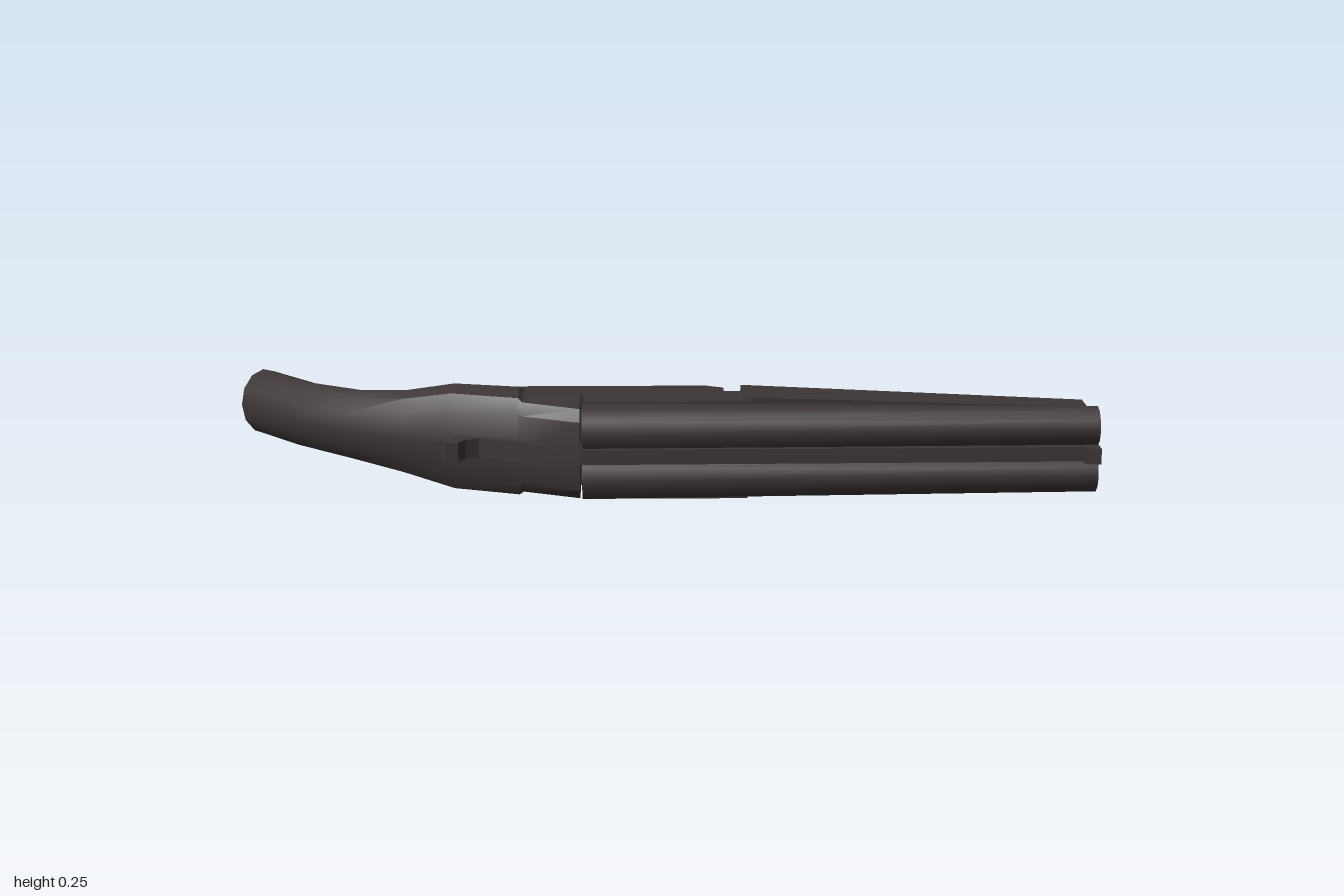
import * as THREE from 'three';
import { toCreasedNormals } from 'three/addons/utils/BufferGeometryUtils.js';

const CY = 0.128; // middle plane of the gun, which lies on its side

export function createModel() {
  const group = new THREE.Group();
  const gunmetal = new THREE.MeshStandardMaterial({ color: 0x3d3535 });
  gunmetal.name = 'dark gunmetal';

  const add = (name, geometry, crease = 0.6) => {
    const mesh = new THREE.Mesh(toCreasedNormals(geometry, crease), gunmetal);
    mesh.name = name;
    group.add(mesh);
    return mesh;
  };

  // Skin rings of [x, y, z] points, running towards +x, with closed ends
  const loft = (rings) => {
    const n = rings[0].length, pos = rings.flat(2), idx = [];
    for (let i = 0; i < rings.length - 1; i++) {
      for (let j = 0; j < n; j++) {
        const a = i * n + j, b = i * n + (j + 1) % n;
        idx.push(a, b, a + n, b, b + n, a + n);
      }
    }
    const last = (rings.length - 1) * n;
    for (let j = 1; j < n - 1; j++) {
      idx.push(0, j + 1, j);
      idx.push(last, last + j, last + j + 1);
    }
    const g = new THREE.BufferGeometry();
    g.setAttribute('position', new THREE.Float32BufferAttribute(pos, 3));
    g.setIndex(idx);
    return g;
  };

  // Outline in the x-z plane, given thickness along y
  const plate = (points, depth, y = CY, hole) => {
    const shape = new THREE.Shape(points.map(([x, z]) => new THREE.Vector2(x, z)));
    if (hole) shape.holes.push(new THREE.Path(hole.map(([x, z]) => new THREE.Vector2(x, z))));
    return new THREE.ExtrudeGeometry(shape, { depth, bevelEnabled: false })
      .rotateX(Math.PI / 2).translate(0, y + depth / 2, 0);
  };

  // Curved grip flowing into the receiver: lower x, z, upper x, z, half width, roundness
  const sections = [
    [-0.90, -0.285, -1.00, -0.21, 0.080, 1],
    [-0.78, -0.160, -0.87, -0.07, 0.080, 1],
    [-0.66, -0.070, -0.72, 0.04, 0.086, 1],
    [-0.56, -0.020, -0.59, 0.11, 0.100, 0.9],
    [-0.45, 0.018, -0.47, 0.155, 0.126, 0.8],
    [-0.31, 0.045, -0.31, 0.205, 0.124, 0.6],
    [-0.30, 0.045, -0.30, 0.21, 0.114, 0.55],
    [-0.17, 0.045, -0.17, 0.275, 0.112, 0.5],
  ];
  const power = (v, e) => Math.sign(v) * Math.abs(v) ** e;
  add('gripAndReceiver', loft(sections.map(([bx, bz, tx, tz, w, e]) => {
    const ring = [];
    for (let i = 0; i < 12; i++) {
      const a = (i / 12) * Math.PI * 2;
      const c = power(Math.cos(a), e), s = power(Math.sin(a), e);
      ring.push([(bx + tx) / 2 + s * (tx - bx) / 2, CY + w * c, (bz + tz) / 2 + s * (tz - bz) / 2]);
    }
    return ring;
  })));

  // Action bar under the breech, and the flat-sided barrel lump above it
  add('actionBar', plate([[-0.31, 0.045], [0.12, 0.045], [0.16, 0.065], [0.16, 0.1],
    [0.21, 0.1], [0.21, 0.125], [-0.31, 0.125]], 0.216));
  add('barrelLump', plate([[-0.162, 0.12], [0.21, 0.12], [0.21, 0.215], [-0.162, 0.215]], 0.228));

  // Forend: tapering, with chamfered lower corners
  const forendRing = (x, w, b, t) => [[0, b], [0.75 * w, b + 0.005], [w, b + 0.035], [w, t],
    [-w, t], [-w, b + 0.035], [-0.75 * w, b + 0.005]].map(([y, z]) => [x, CY + y, z]);
  add('forend', loft([forendRing(0.2, 0.117, 0.04, 0.19), forendRing(0.98, 0.094, 0.1, 0.2)]), 0.3);

  // Twin tapered barrels with open bores
  for (const side of [1, -1]) {
    const profile = [[0, -0.165], [0.058, -0.165], [0.046, 1], [0.04, 1], [0.038, 0.85], [0, 0.85]]
      .map(([r, x]) => new THREE.Vector2(r, x));
    const barrel = add(side > 0 ? 'upperBarrel' : 'lowerBarrel',
      new THREE.LatheGeometry(profile, 12).rotateZ(-Math.PI / 2));
    barrel.position.set(0, CY + side * 0.054, 0.218);
  }

  // Sighting rib, filler below it, and front bead
  add('rib', plate([[-0.17, 0.22], [0.99, 0.22], [0.99, 0.262], [-0.17, 0.274]], 0.034));
  add('barrelWeb', plate([[-0.16, 0.17], [0.98, 0.17], [0.98, 0.235], [-0.16, 0.24]], 0.08));
  add('bead', plate([[0.965, 0.25], [1, 0.25], [1, 0.284], [0.965, 0.28]], 0.036));

  // Trigger guard loop
  add('triggerGuard', plate(
    [[-0.49, 0.03], [-0.485, -0.07], [-0.45, -0.102], [-0.31, -0.102], [-0.27, -0.06], [-0.263, 0], [-0.295, 0.06]],
    0.083, CY,
    [[-0.478, 0.03], [-0.474, -0.066], [-0.445, -0.091], [-0.315, -0.091], [-0.281, -0.056], [-0.274, 0], [-0.305, 0.05]]));

  // Two curved triggers
  [[0, 0.015], [0.052, -0.015]].forEach(([dx, dy], i) => {
    const curve = [[-0.457, 0.04], [-0.457, -0.02], [-0.44, -0.05], [-0.4, -0.07],
      [-0.418, -0.04], [-0.425, -0.01], [-0.42, 0.04]];
    add(i ? 'frontTrigger' : 'rearTrigger', plate(curve.map(([x, z]) => [x + dx, z]), 0.024, CY + dy));
  });

  // Top lever with a raised thumb tab
  add('topLever', plate([[-0.25, 0.2], [-0.25, 0.247], [-0.4, 0.187], [-0.43, 0.2], [-0.445, 0.225],
    [-0.475, 0.225], [-0.486, 0.2], [-0.46, 0.18], [-0.45, 0.14]], 0.045));

  return group;
}
